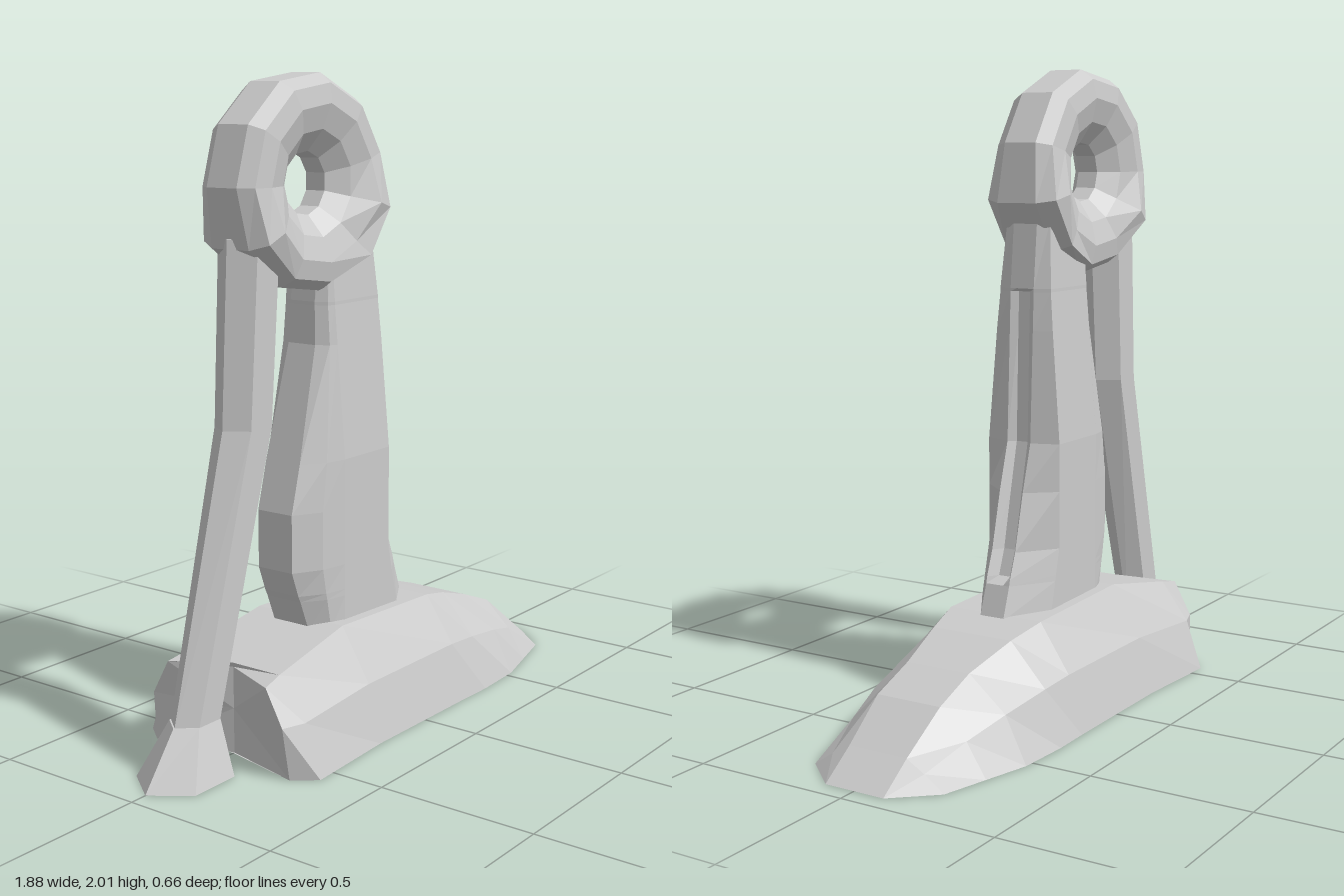
import * as THREE from 'three';

const material = new THREE.MeshStandardMaterial({
  color: 0xcccccc, flatShading: true, side: THREE.DoubleSide,
});

function addMesh(group, name, geometry) {
  const mesh = new THREE.Mesh(geometry, material);
  mesh.name = name;
  group.add(mesh);
  return mesh;
}

// Skins a row of equal-length rings of [x, y, z], counter-clockwise about the
// direction of travel, and closes both ends with a fan.
function loft(rings, startCentre) {
  const n = rings[0].length;
  const points = rings.flat();
  const index = [];
  for (let i = 0; i < rings.length - 1; i++) {
    for (let j = 0; j < n; j++) {
      const a = i * n + j, b = i * n + (j + 1) % n;
      index.push(a, b, b + n, a, b + n, a + n);
    }
  }
  const mean = ring => [0, 1, 2].map(k => ring.reduce((s, p) => s + p[k], 0) / n);
  const last = (rings.length - 1) * n;
  const c = points.length;
  points.push(startCentre || mean(rings[0]), mean(rings[rings.length - 1]));
  for (let j = 0; j < n; j++) {
    const k = (j + 1) % n;
    index.push(c, k, j, c + 1, last + j, last + k);
  }
  const geometry = new THREE.BufferGeometry();
  geometry.setAttribute('position', new THREE.Float32BufferAttribute(points.flat(), 3));
  geometry.setIndex(index);
  geometry.computeVertexNormals();
  return geometry;
}

// Horizontal ring at height y from its +z half, listed from front (+x) to rear
function mirroredRing(y, half) {
  const front = half.map(([x, z]) => [x, y, z]).reverse();
  const back = half.map(([x, z]) => [x, y, -z]);
  // travels rear -> front on +z, then front -> rear on -z
  return [...front, ...back];
}

// Hull-shaped base, lofted from rear to nose
function baseGeometry() {
  // x, top half-width, top y, middle half-width, middle y, bottom half-width
  const sections = [
    [-0.64, 0.19, 0.27, 0.25, 0.16, 0.26],
    [-0.565, 0.18, 0.285, 0.275, 0.16, 0.33],
    [-0.24, 0.165, 0.345, 0.265, 0.18, 0.31],
    [0.22, 0.165, 0.33, 0.265, 0.18, 0.312],
    [0.35, 0.14, 0.3, 0.26, 0.17, 0.315],
    [0.53, 0.11, 0.243, 0.235, 0.14, 0.305],
    [0.68, 0.11, 0.185, 0.2, 0.1, 0.265],
    [0.83, 0.1, 0.078, 0.16, 0.045, 0.225],
    [0.94, 0.1, 0, 0.1, 0, 0.1],
  ];
  const rings = sections.map(([x, wt, yt, wm, ym, wb], i) => {
    const notch = i === 0 ? 0.08 : 0;          // rear edge dips in at the middle
    const lower = i === 0 ? x + 0.02 : x;
    return [
      [x + notch, yt, 0], [x, yt, wt], [x, ym, wm], [lower, 0, wb],
      [x + notch, 0, 0], [lower, 0, -wb], [x, ym, -wm], [x, yt, -wt],
    ];
  });
  return loft(rings, [-0.56, 0.14, 0]);
}

// Main post with a slot down its front and a bulge at the rear
function postGeometry() {
  // y, rear x, side's front edge x, front x, half-width, slot depth
  const sections = [
    [0.32, -0.28, 0.1, 0.24, 0.13, 0],
    [0.42, -0.32, 0.075, 0.205, 0.13, 0],
    [0.44, -0.33, 0.07, 0.2, 0.13, 0.035],
    [0.52, -0.36, 0.05, 0.17, 0.13, 0.035],
    [0.7, -0.36, 0.05, 0.125, 0.13, 0.03],
    [0.85, -0.32, 0.05, 0.08, 0.13, 0.02],
    [1.2, -0.225, 0.045, 0.065, 0.102, 0.015],
    [1.32, -0.22, 0.04, 0.06, 0.092, 0.015],
    [1.33, -0.22, 0.04, 0.06, 0.092, 0],
    [1.54, -0.2, 0.02, 0.04, 0.078, 0],
  ];
  return loft(sections.map(([y, xr, xs, xf, w, slot]) => mirroredRing(y, [
    [xf - slot, 0.02], [xf, 0.042], [xs, w], [-0.18, w],
    [(xr - 0.18) / 2, w * 0.88], [xr, w * 0.5],
  ])));
}

// Bent rear strut and its foot, six-sided all the way
function strutGeometry(sections) {
  return loft(sections.map(([y, xl, xr, w]) => {
    const d = xr - xl;
    return [
      [xl, y, 0], [xl + d * 0.25, y, w], [xr - d * 0.25, y, w],
      [xr, y, 0], [xr - d * 0.25, y, -w], [xl + d * 0.25, y, -w],
    ];
  }));
}

// Faceted ring, thickened where the post and strut join it
function ringGeometry() {
  const profile = [
    [0.095, -0.035], [0.16, -0.085], [0.235, -0.108], [0.295, -0.098], [0.325, -0.055],
    [0.325, 0.055], [0.295, 0.098], [0.235, 0.108], [0.16, 0.085], [0.095, 0.035],
    [0.095, -0.035],
  ].map(([r, z]) => new THREE.Vector2(r, z));
  const geometry = new THREE.LatheGeometry(profile, 11);
  geometry.rotateX(Math.PI / 2);
  geometry.rotateZ(Math.PI / 22);
  const p = geometry.attributes.position;
  for (let i = 0; i < p.count; i++) {
    const x = p.getX(i), y = p.getY(i);
    const joint = y < -0.03 && y > -0.24 && Math.abs(x) > 0.18;
    p.setX(i, x * (joint ? 1.1 : 1.03));
    if (joint) p.setZ(i, p.getZ(i) * 1.26);
  }
  geometry.computeVertexNormals();
  return geometry;
}

export function createModel() {
  const model = new THREE.Group();
  model.name = 'model';

  addMesh(model, 'base', baseGeometry());
  addMesh(model, 'post', postGeometry());

  // sections: y, left x, right x, half-width
  addMesh(model, 'strut', strutGeometry([
    [0.14, -0.825, -0.645, 0.055],
    [0.99, -0.595, -0.41, 0.07],
    [1.54, -0.565, -0.37, 0.075],
  ]));
  addMesh(model, 'strutFoot', strutGeometry([
    [0, -0.945, -0.61, 0.115],
    [0.16, -0.825, -0.64, 0.058],
  ]));

  addMesh(model, 'ring', ringGeometry()).position.set(-0.25, 1.685, 0);
  return model;
}
